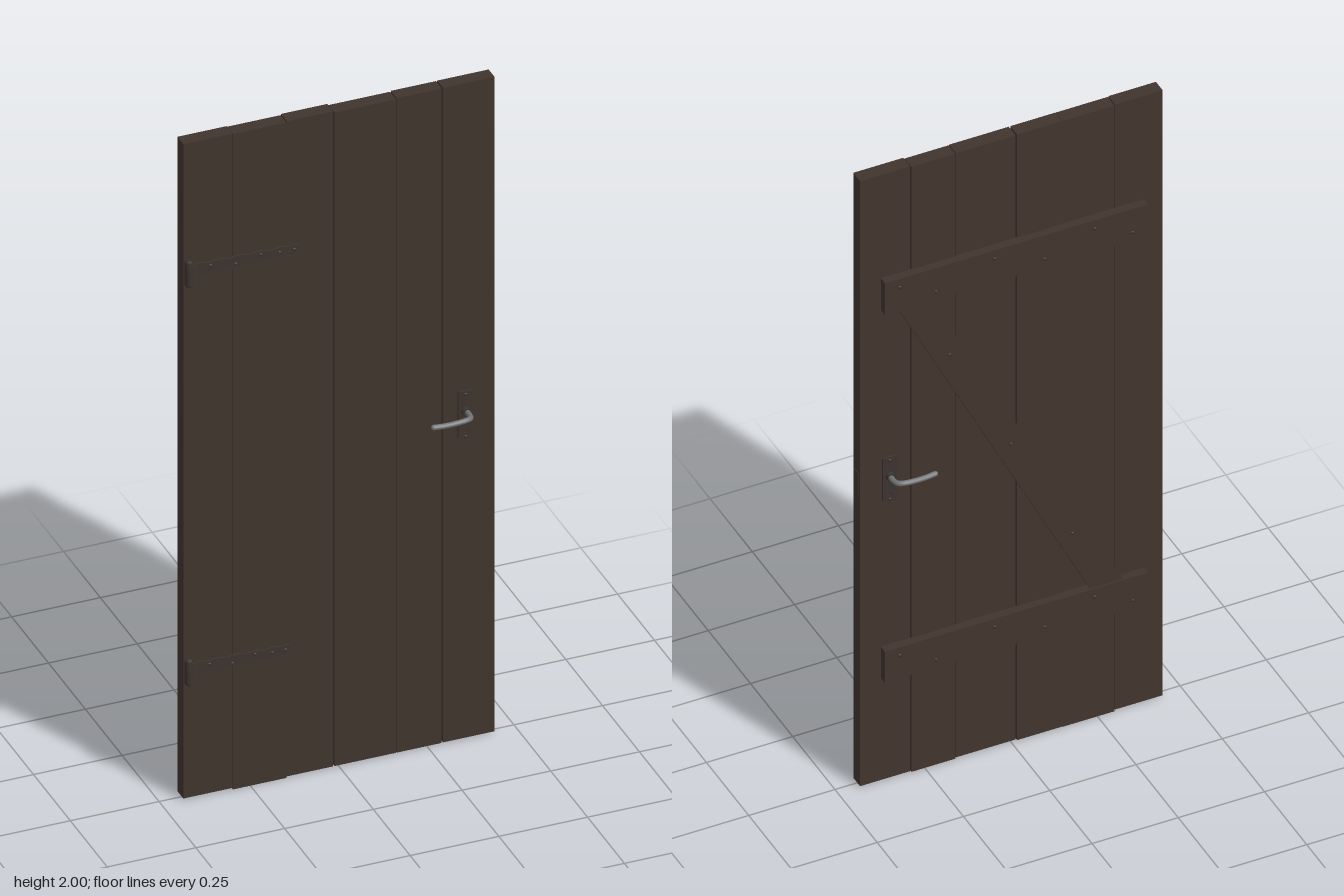
import * as THREE from 'three';

const wood = new THREE.MeshStandardMaterial({ color: 0x41342d });
wood.name = 'dark wood';
const iron = new THREE.MeshStandardMaterial({ color: 0x3d332e });
iron.name = 'dark iron';
const steel = new THREE.MeshStandardMaterial({ color: 0x707274 });
steel.name = 'grey steel';

function add(parent, name, geometry, material, x = 0, y = 0, z = 0) {
  const mesh = new THREE.Mesh(geometry, material);
  mesh.name = name;
  mesh.position.set(x, y, z);
  parent.add(mesh);
  return mesh;
}

// Box given by its limits on each axis
function boxBetween(parent, name, x0, x1, y0, y1, z0, z1, material = wood) {
  return add(parent, name, new THREE.BoxGeometry(x1 - x0, y1 - y0, z1 - z0), material,
    (x0 + x1) / 2, (y0 + y1) / 2, (z0 + z1) / 2);
}

// Low domed nail head facing +z (side 1) or -z (side -1)
function nail(parent, x, y, z, side, material = iron) {
  const dome = new THREE.SphereGeometry(0.005, 10, 4, 0, Math.PI * 2, 0, Math.PI / 2);
  dome.scale(1, 0.6, 1);
  const mesh = add(parent, 'nail', dome, material, x, y, z);
  mesh.rotation.x = side * Math.PI / 2;
}

function extrude(shape, depth) {
  return new THREE.ExtrudeGeometry(shape, { depth, bevelEnabled: false, curveSegments: 8 });
}

// Strap hinge: scalloped tapering strap, bent neck and barrel
function makeHinge(y, tipX) {
  const hinge = new THREE.Group();
  hinge.name = 'hinge';
  const startX = -0.4, length = tipX - startX, steps = 40, upper = [];
  for (let i = 0; i <= steps; i++) {
    const t = i / steps;
    const body = 0.017 - 0.007 * t + 0.003 * Math.abs(Math.cos(t * Math.PI * 5));
    const half = t > 0.88 ? 0.015 * Math.sqrt(Math.max(0, 1 - ((t - 0.88) / 0.12) ** 2)) : body;
    upper.push(new THREE.Vector2(startX + t * length, half));
  }
  const lower = upper.slice(0, -1).reverse().map(p => new THREE.Vector2(p.x, -p.y));
  add(hinge, 'hingeStrap', extrude(new THREE.Shape([...upper, ...lower]), 0.006), iron, 0, y, 0.018);

  const neck = new THREE.Shape([[-0.43, 0.031], [-0.42, 0.031], [-0.4, 0.024], [-0.4, 0.019], [-0.43, 0.026]]
    .map(p => new THREE.Vector2(p[0], -p[1])));
  const neckGeometry = extrude(neck, 0.04);
  neckGeometry.rotateX(-Math.PI / 2);
  add(hinge, 'hingeNeck', neckGeometry, iron, 0, y - 0.02, 0);

  const profile = [[0, -0.039], [0.007, -0.039], [0.011, -0.034], [0.011, 0.034], [0.007, 0.039], [0, 0.039]]
    .map(p => new THREE.Vector2(p[0], p[1]));
  add(hinge, 'hingeBarrel', new THREE.LatheGeometry(profile, 16), iron, -0.429, y, 0.032);

  [0.12, 0.36, 0.6, 0.78, 0.92].forEach((t, i) =>
    nail(hinge, startX + t * length, y + (i < 3 ? (i % 2 ? -0.006 : 0.006) : 0), 0.024, 1));
  return hinge;
}

// Lever handle with its long plate, on the face at z
function makeHandle(z, side) {
  const handle = new THREE.Group();
  handle.name = side > 0 ? 'frontHandle' : 'backHandle';
  const x = 0.354, y = 1.005;

  const w = 0.02, bottom = -0.085, top = 0.06, r = 0.008;
  const plate = new THREE.Shape();
  plate.moveTo(-w + r, bottom);
  plate.lineTo(w - r, bottom);
  plate.quadraticCurveTo(w, bottom, w, bottom + r);
  plate.lineTo(w, top - r);
  plate.quadraticCurveTo(w, top, w - r, top);
  plate.lineTo(-w + r, top);
  plate.quadraticCurveTo(-w, top, -w, top - r);
  plate.lineTo(-w, bottom + r);
  plate.quadraticCurveTo(-w, bottom, -w + r, bottom);
  const keyhole = new THREE.Path();
  keyhole.absarc(0, -0.063, 0.005, 0, Math.PI * 2, true);
  plate.holes.push(keyhole);
  add(handle, 'handlePlate', extrude(plate, 0.006), iron, x, y, side > 0 ? z : z - 0.006);
  nail(handle, x, y + 0.05, z + side * 0.006, side);
  nail(handle, x, y - 0.078, z + side * 0.006, side);

  const collar = new THREE.CylinderGeometry(0.011, 0.013, 0.012, 16);
  collar.rotateX(Math.PI / 2 * side);
  add(handle, 'handleCollar', collar, iron, x, y, z + side * 0.009);

  const path = new THREE.CatmullRomCurve3([
    [0.355, 1.005, 0.02], [0.355, 1.005, 0.052], [0.35, 1.006, 0.066], [0.335, 1.007, 0.073],
    [0.3, 1.005, 0.074], [0.27, 1.004, 0.072], [0.245, 1.005, 0.07],
  ].map(p => new THREE.Vector3(p[0], p[1], p[2] * side + (side < 0 ? -0.003 : 0))));
  add(handle, 'handleLever', new THREE.TubeGeometry(path, 36, 0.0075, 12), steel);
  const end = path.getPoint(1);
  add(handle, 'handleTip', new THREE.SphereGeometry(0.0075, 12, 8), steel, end.x, end.y, end.z);
  return handle;
}

export function createModel() {
  const door = new THREE.Group();
  door.name = 'plankDoor';

  // Planks: left x, right x, bottom, top, back z, front z
  [
    [-0.439, -0.301, 0.005, 2.0, -0.022, 0.018],
    [-0.299, -0.149, 0.0, 1.998, -0.022, 0.018],
    [-0.147, -0.016, 0.003, 2.0, -0.024, 0.016],
    [-0.013, 0.16, 0.005, 1.997, -0.022, 0.019],
    [0.163, 0.29, 0.003, 1.998, -0.024, 0.016],
    [0.293, 0.438, 0.005, 2.0, -0.022, 0.018],
  ].forEach(p => boxBetween(door, 'plank', ...p));
  boxBetween(door, 'tongues', -0.43, 0.43, 0.012, 1.99, -0.006, 0.004);

  // Back ledges with nails
  const nailX = [-0.34, -0.23, -0.085, 0.06, 0.23, 0.335];
  for (const [y0, y1] of [[1.555, 1.66], [0.342, 0.445]]) {
    boxBetween(door, 'ledge', -0.385, 0.378, y0, y1, -0.047, -0.021);
    nailX.forEach((x, i) => nail(door, x, (y0 + y1) / 2 + (i % 2 ? 0.025 : -0.025), -0.047, -1));
  }

  // Diagonal brace between the ledges
  const brace = new THREE.Shape([[-0.315, 0.445], [-0.22, 0.445], [0.335, 1.555], [0.24, 1.555]]
    .map(p => new THREE.Vector2(p[0], p[1])));
  add(door, 'brace', extrude(brace, 0.02), wood, 0, 0, -0.041);
  for (const t of [0.18, 0.5, 0.82])
    nail(door, -0.268 + 0.555 * t, 0.445 + 1.11 * t, -0.041, -1);

  // Hinges, handles and lock plate
  door.add(makeHinge(1.61, -0.105), makeHinge(0.395, -0.132));
  door.add(makeHandle(0.018, 1), makeHandle(-0.022, -1));
  boxBetween(door, 'lockPlate', 0.436, 0.4395, 0.96, 1.03, -0.014, 0.012, iron);
  return door;
}
